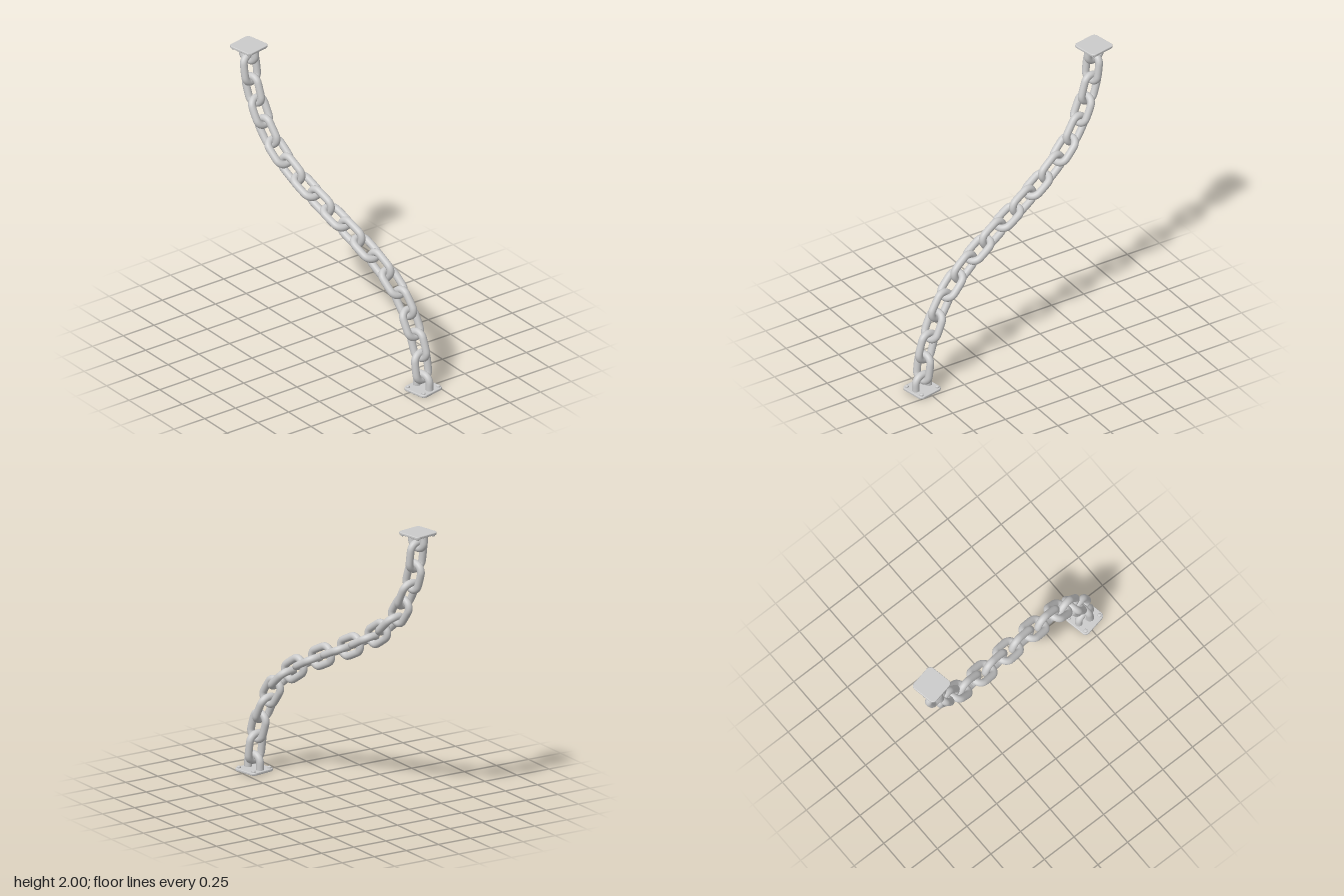
import * as THREE from 'three';

const material = new THREE.MeshStandardMaterial({ color: 0xcccccc, roughness: 0.6 });

const WIRE = 0.0255;      // wire radius
const HALF_W = 0.057;     // half width of the wire's centre line
const HALF_L = 0.094;     // half length of the wire's centre line
const CORNER = 0.05;      // bend radius
const YAW = 0.193;        // heading of the whole run
const REACH = 0.78;       // horizontal distance of each plate from the middle

// Link centres of the lower half [horizontal, height]; the upper half mirrors them about the middle
const LOWER = [
  [0.766, 0.168], [0.739, 0.318], [0.676, 0.455], [0.612, 0.583],
  [0.51, 0.698], [0.398, 0.788], [0.266, 0.866], [0.137, 0.934],
];

function mesh(name, geometry) {
  const m = new THREE.Mesh(geometry, material);
  m.name = name;
  return m;
}

// Points of a quarter bend, counter-clockwise from the start angle
function bend(cx, cy, start, steps = 6) {
  return Array.from({ length: steps + 1 }, (_, i) => {
    const a = start + (i / steps) * Math.PI / 2;
    return new THREE.Vector3(cx + CORNER * Math.cos(a), cy + CORNER * Math.sin(a), 0);
  });
}

// Closed oblong ring, long axis on y, lying in the xy plane
function linkGeometry() {
  const x = HALF_W - CORNER, y = HALF_L - CORNER;
  const points = [[x, y], [-x, y], [-x, -y], [x, -y]]
    .flatMap(([cx, cy], i) => bend(cx, cy, i * Math.PI / 2));
  const curve = new THREE.CatmullRomCurve3(points, true, 'centripetal');
  return new THREE.TubeGeometry(curve, 72, WIRE, 16, true);
}

// Half link whose legs run down into the plate
function hoopGeometry() {
  const x = HALF_W - CORNER, y = 0.113 - CORNER;
  const points = [
    new THREE.Vector3(HALF_W, 0.008, 0),
    new THREE.Vector3(HALF_W, 0.035, 0),
    ...bend(x, y, 0),
    ...bend(-x, y, Math.PI / 2),
    new THREE.Vector3(-HALF_W, 0.035, 0),
    new THREE.Vector3(-HALF_W, 0.008, 0),
  ];
  const curve = new THREE.CatmullRomCurve3(points, false, 'centripetal');
  return new THREE.TubeGeometry(curve, 48, WIRE, 16, false);
}

// Square plate with rounded corners and softened edges, standing on y = 0
function plateGeometry() {
  const bevel = 0.005, h = 0.096 - bevel, r = 0.026;
  const s = new THREE.Shape();
  s.absarc(h - r, h - r, r, 0, Math.PI / 2);
  s.absarc(r - h, h - r, r, Math.PI / 2, Math.PI);
  s.absarc(r - h, r - h, r, Math.PI, Math.PI * 1.5);
  s.absarc(h - r, r - h, r, Math.PI * 1.5, Math.PI * 2);
  s.closePath();
  return new THREE.ExtrudeGeometry(s, {
    depth: 0.008, bevelThickness: bevel, bevelSize: bevel, bevelSegments: 3, curveSegments: 8,
  }).rotateX(-Math.PI / 2).translate(0, bevel, 0);
}

// Low bolt head with a rounded top
function boltGeometry() {
  const profile = [[0.013, 0.016], [0.013, 0.026], [0.0115, 0.029], [0.008, 0.031], [0, 0.032]]
    .map(([x, y]) => new THREE.Vector2(x, y));
  return new THREE.LatheGeometry(profile, 16);
}

function mount(name) {
  const g = new THREE.Group();
  g.name = name;
  g.add(mesh('plate', plateGeometry()));
  const hoop = mesh('hoop', hoopGeometry());
  hoop.rotation.y = Math.PI / 2;
  g.add(hoop);
  const bolt = boltGeometry();
  for (const x of [-0.071, 0.071]) {
    for (const z of [-0.071, 0.071]) {
      const b = mesh('bolt', bolt);
      b.position.set(x, 0, z);
      g.add(b);
    }
  }
  return g;
}

export function createModel() {
  const root = new THREE.Group();
  root.name = 'hangingChain';
  const run = new THREE.Group();
  run.name = 'chainRun';
  run.rotation.y = YAW;
  root.add(run);

  // End plates
  const floor = mount('floorMount');
  floor.position.z = REACH;
  const ceiling = mount('ceilingMount');
  ceiling.position.set(0, 2, -REACH);
  ceiling.rotation.x = Math.PI;
  run.add(floor, ceiling);

  // Links, alternately crosswise and in the plane of the run
  const upper = LOWER.map(([u, y]) => [-u, 2 - y]).reverse();
  const path = [[REACH, 0.02], ...LOWER, [0, 1], ...upper, [-REACH, 1.98]];
  const geometry = linkGeometry();
  for (let i = 1; i < path.length - 1; i++) {
    const [before, here, after] = [path[i - 1], path[i], path[i + 1]];
    const link = mesh('link', geometry);
    link.position.set(0, here[1], here[0]);
    const tilt = Math.atan2(after[0] - before[0], after[1] - before[1]);
    link.rotation.set(tilt, i % 2 ? 0 : Math.PI / 2, 0);
    run.add(link);
  }
  return root;
}
